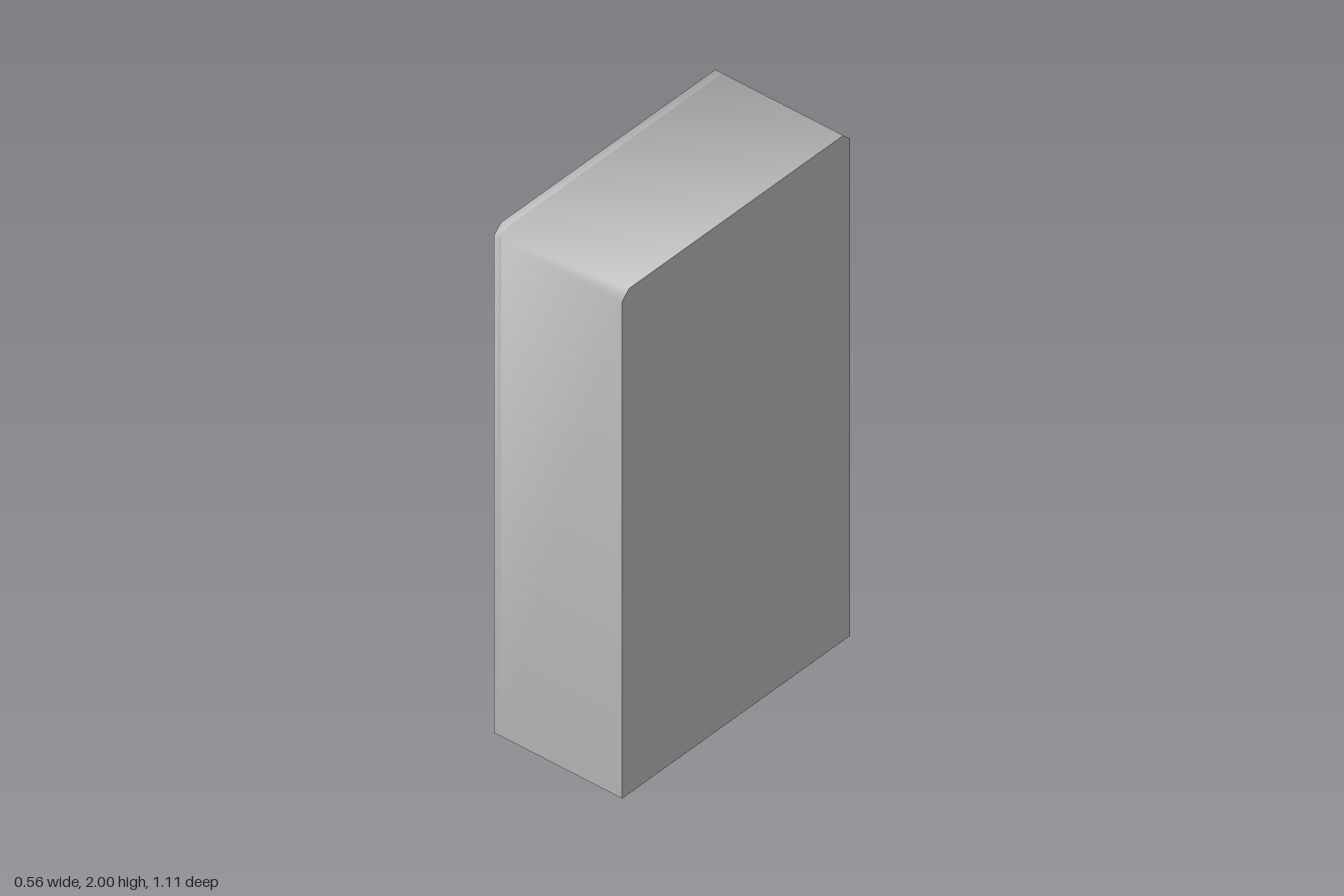
import * as THREE from 'three';
import { toCreasedNormals } from 'three/addons/utils/BufferGeometryUtils.js';

const H = 2, HALF = 0.555, CUT = 0.033;      // cabinet height, half width, top chamfer
const FRONT = -0.25, RECESS = -0.22, BACK = 0.28;

const shapeOf = (pts) => new THREE.Shape(pts.map(([a, b]) => new THREE.Vector2(a, b)));

// Extrudes a (z, y) outline along x, from x0 to x1
function extrudeX(pts, x0, x1) {
  const geo = new THREE.ExtrudeGeometry(shapeOf(pts), { depth: x1 - x0, bevelEnabled: false });
  geo.rotateY(Math.PI / 2).translate(x0, 0, 0);
  return toCreasedNormals(geo, 0.9);
}

export function createModel() {
  const group = new THREE.Group();
  const bodyGrey = new THREE.MeshStandardMaterial({ color: 0xb2b4b4 });
  bodyGrey.name = 'bodyGrey';
  const doorGrey = new THREE.MeshStandardMaterial({ color: 0x95979f });
  doorGrey.name = 'doorGrey';

  const add = (name, geo, mat) => {
    const mesh = new THREE.Mesh(geo, mat);
    mesh.name = name;
    group.add(mesh);
  };

  // Main body with chamfered top edges
  const outline = [[HALF, 0], [HALF, H - CUT], [HALF - CUT, H], [CUT - HALF, H], [-HALF, H - CUT], [-HALF, 0]];
  add('cabinetBody', extrudeX(outline, RECESS, BACK), bodyGrey);

  // Door surround, open down to the floor
  const inner = 0.488, top = 1.95;
  const surround = [...outline, [-inner, 0], [-inner, top], [inner, top], [inner, 0]];
  add('doorFrame', extrudeX(surround, FRONT, RECESS), bodyGrey);

  for (const side of [-1, 1]) {
    const label = side > 0 ? 'front' : 'back';

    // Bevelled door panel
    const b = 0.01;
    const z0 = 0.012 + b, z1 = 0.478 - b, y0 = 0.075 + b, y1 = 1.93 - b;
    const door = new THREE.ExtrudeGeometry(
      shapeOf([[z0, y0], [z1, y0], [z1, y1], [z0, y1]].map(([z, y]) => [z * -side, y])),
      { depth: 0.01, bevelThickness: b, bevelSize: b, bevelSegments: 1 });
    door.rotateY(Math.PI / 2).translate(-0.23, 0, 0);
    add(label + 'Door', door, doorGrey);

    // Handle with chamfered outer corners
    const c = 0.016;
    const handle = new THREE.ExtrudeGeometry(
      shapeOf([[-0.235, 0.872], [-0.235, 1.005], [-0.28 + c, 1.005], [-0.28, 1.005 - c], [-0.28, 0.872 + c], [-0.28 + c, 0.872]]),
      { depth: 0.052, bevelEnabled: false });
    handle.translate(0, 0, side * 0.1 - 0.026);
    add(label + 'Handle', toCreasedNormals(handle, 0.9), bodyGrey);
  }
  return group;
}
